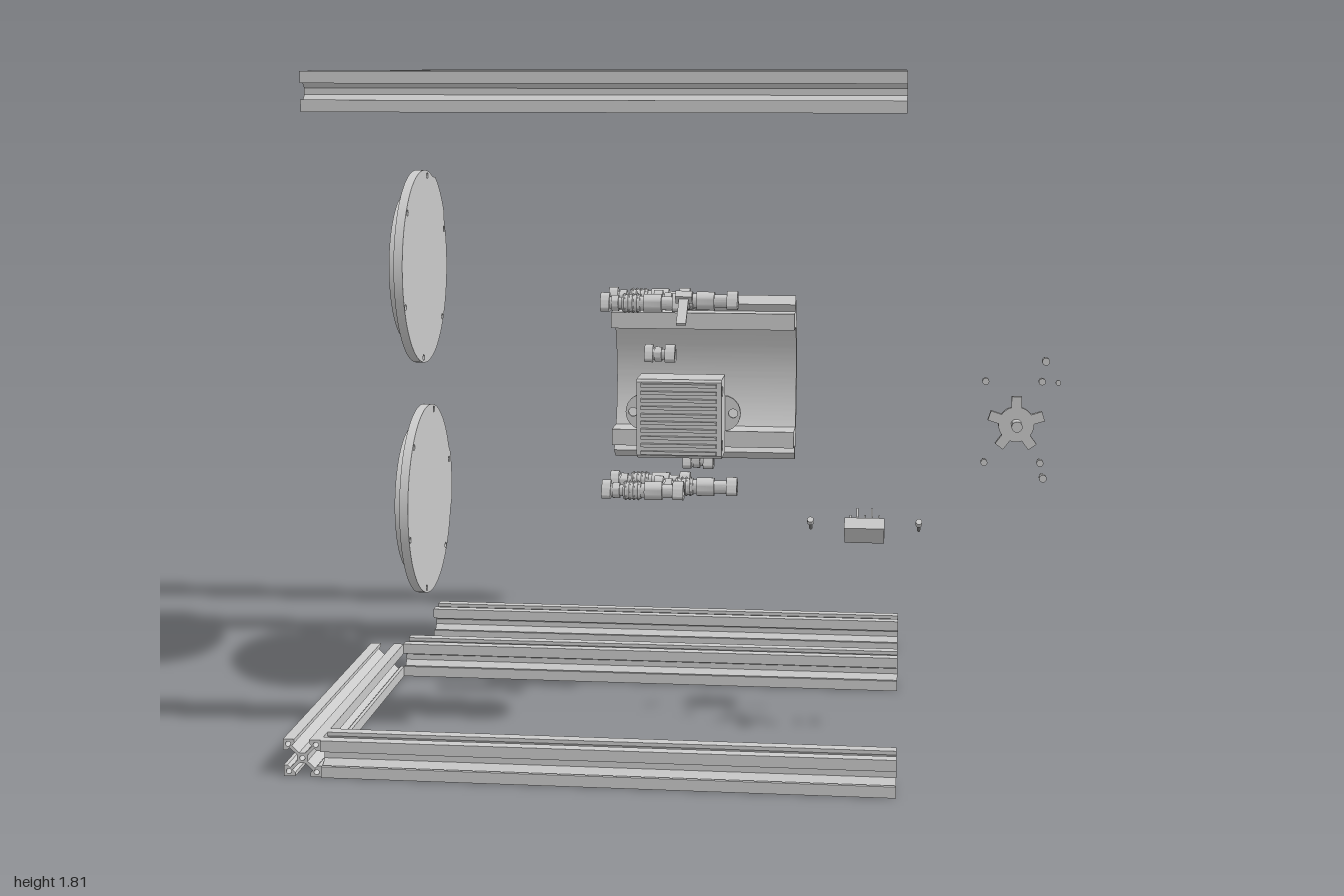
import * as THREE from 'three';
import { toCreasedNormals } from 'three/addons/utils/BufferGeometryUtils.js';

const mat = new THREE.MeshStandardMaterial({ color: 0xcccccc, side: THREE.DoubleSide });
const rad = THREE.MathUtils.degToRad;

function add(parent, name, geo, x = 0, y = 0, z = 0) {
  const m = new THREE.Mesh(toCreasedNormals(geo, 0.6), mat);
  m.name = name;
  m.position.set(x, y, z);
  parent.add(m);
  return m;
}
const box = (w, h, d) => new THREE.BoxGeometry(w, h, d);
const shapeOf = pts => new THREE.Shape(pts.map(p => new THREE.Vector2(p[0], p[1])));
const circle = (x, y, r) => new THREE.Path().absarc(x, y, r, 0, Math.PI * 2, true);
const extrude = (s, depth, seg = 12) =>
  new THREE.ExtrudeGeometry(s, { depth, bevelEnabled: false, curveSegments: seg });
// extrusion running along +x, with shape x pointing to -z
const extrudeX = (s, depth, seg) => extrude(s, depth, seg).rotateY(Math.PI / 2);

// slotted rail section: four hollow corners on a diagonal web
function railShape() {
  const side = [[.05, -.05], [.05, -.02], [.04, -.02], [.033, -.027], [.014, -.008],
    [.014, .008], [.033, .027], [.04, .02], [.05, .02]];
  const pts = [];
  for (let k = 0; k < 4; k++) {
    const c = Math.round(Math.cos(k * Math.PI / 2)), s = Math.round(Math.sin(k * Math.PI / 2));
    side.forEach(([x, y]) => pts.push([x * c - y * s, x * s + y * c]));
  }
  const shape = shapeOf(pts);
  shape.holes.push(circle(0, 0, .007));
  for (const x of [-1, 1]) for (const y of [-1, 1]) shape.holes.push(circle(x * .037, y * .037, .007));
  return shape;
}

// round cover with a slightly swollen edge arc, rim holes and a raised back
function cover(parent, y, holeStart, bulge) {
  const g = new THREE.Group();
  g.name = 'roundCover';
  const pts = [];
  for (let i = 0; i < 120; i++) {
    const a = i * 3;
    const d = Math.abs(((a - bulge + 540) % 360) - 180);
    const r = .281 + (d < 20 ? .012 * Math.min(1, (20 - d) / 5) : 0);
    pts.push([r * Math.cos(rad(a)), r * Math.sin(rad(a))]);
  }
  const s = shapeOf(pts);
  for (let k = 0; k < 6; k++) {
    const a = rad(holeStart + 60 * k);
    s.holes.push(circle(.267 * Math.cos(a), .267 * Math.sin(a), .009));
  }
  add(g, 'coverPlate', extrudeX(s, .025), -.835);
  add(g, 'coverBoss', new THREE.CylinderGeometry(.215, .215, .03, 64).rotateZ(Math.PI / 2), -.85);
  g.position.set(0, y, -.21);
  parent.add(g);
}

// rounded triangular sleeve, hollow, running along x
function sleeveGeo(len) {
  const ring = (R, k) => Array.from({ length: 36 }, (_, i) => {
    const a = i * Math.PI / 18, r = R * (1 + k * Math.cos(3 * (a - Math.PI / 2)));
    return new THREE.Vector2(r * Math.cos(a), r * Math.sin(a));
  });
  const s = new THREE.Shape(ring(.026, .12));
  s.holes.push(new THREE.Path(ring(.015, .12)));
  return extrudeX(s, len);
}

// cable connector: ribbed round body with sleeves
function connector(parent, x0, x1, y, z) {
  const g = new THREE.Group(), L = x1 - x0;
  g.name = 'cableConnector';
  const long = L > .15, end = L - .03;
  const p = [[0, .004], [.018, .004], [.018, .03], [.022, .03], [.022, .05], [.016, .05], [.016, .06]];
  if (long) p.push([.024, .06], [.024, .11], [.02, .11], [.02, .12], [.026, .12], [.026, .17], [.019, .17]);
  p.push([.019, end + .01], [0, end + .01]);
  add(g, 'connectorBody', new THREE.LatheGeometry(p.map(q => new THREE.Vector2(...q)), 24).rotateZ(-Math.PI / 2));
  add(g, 'connectorSleeve', sleeveGeo(.03), end);
  add(g, 'connectorSleeve', sleeveGeo(.025), 0);
  for (let i = 0; long && i < 4; i++)
    add(g, 'gripRing', new THREE.TorusGeometry(.025, .003, 6, 24).rotateY(Math.PI / 2), .066 + i * .012);
  g.position.set(x0, y, z);
  parent.add(g);
}

// screw pointing along z, head at the front
function screw(parent, x, y, z, len, r = .008, tilt = 0) {
  const g = new THREE.Group();
  g.name = 'screw';
  add(g, 'screwHead', new THREE.CylinderGeometry(r, r, len * .35, 12).rotateX(Math.PI / 2), 0, 0, len * .325);
  add(g, 'screwShank', new THREE.CylinderGeometry(r * .5, r * .5, len * .65, 10).rotateX(Math.PI / 2), 0, 0, -len * .175);
  g.position.set(x, y, z);
  g.rotation.x = tilt;
  parent.add(g);
}

function saddle(parent) {
  const g = new THREE.Group();
  g.name = 'curvedSaddle';
  const Ro = .39, Ri = .352, W = .54;
  for (const [a, b] of [[-39, -32], [-26, 26], [32, 39]]) {
    const s = new THREE.Shape();
    s.absarc(0, 0, Ro, rad(a), rad(b), false);
    s.absarc(0, 0, Ri, rad(b), rad(a), true);
    add(g, 'saddleShell', extrudeX(s, W, 24), -W / 2);
  }
  // drilled strips and inward mounting ledges
  for (const s of [-1, 1]) {
    const plate = shapeOf([[-W / 2, -.0205], [W / 2, -.0205], [W / 2, .0205], [-W / 2, .0205]]);
    for (const x of [-.165, .085]) plate.holes.push(circle(x, 0, .014));
    const m = add(g, 'drilledStrip', extrude(plate, Ro - Ri));
    const a = rad(29 * s);
    m.position.set(0, Ro * Math.sin(a), -Ro * Math.cos(a));
    m.rotation.x = a;
    add(g, 'saddleLedge', box(W, .048, .10), 0, .175 * s, -.28);
  }
  add(g, 'backRib', box(W, .04, .02), 0, 0, -Ro - .002);
  g.position.set(0, .91, -.035);
  parent.add(g);
}

function motor(parent) {
  const g = new THREE.Group();
  g.name = 'finnedHousing';
  const s = shapeOf([[-.37, -.105], [-.27, -.105], [-.27, .105], [-.37, .105], [-.375, .098], [-.375, -.098]]);
  for (const y of [-.073, .073]) s.holes.push(circle(-.35, y, .014));
  add(g, 'housingBody', extrudeX(s, .225), -.112);
  for (let i = 0; i < 10; i++) add(g, 'coolingFin', box(.2, .009, .014), 0, -.09 + i * .02, .38);
  // side ears with screw holes
  for (const e of [-1, 1]) {
    const ear = new THREE.Shape();
    ear.absellipse(0, 0, .045, .048, 0, Math.PI * 2, false);
    ear.holes.push(circle(e * .025, 0, .012));
    add(g, 'mountingEar', extrude(ear, .01), e * .11, 0, .262);
  }
  g.position.y = .905;
  parent.add(g);
}

function hub(parent) {
  const g = new THREE.Group();
  g.name = 'armedHub';
  const s = new THREE.Shape();
  for (let k = 0; k < 5; k++) {
    const c = rad(90 + 72 * k);
    const at = (r, t) => [r * Math.cos(c) - t * Math.sin(c), r * Math.sin(c) + t * Math.cos(c)];
    if (k === 0) s.moveTo(...at(.044, -.013)); else s.lineTo(...at(.044, -.013));
    s.lineTo(...at(.073, -.013));
    s.lineTo(...at(.073, .013));
    s.lineTo(...at(.044, .013));
    s.absarc(0, 0, .046, c + .3, c + rad(72) - .3, false);
  }
  add(g, 'hubPlate', extrude(s, .015), 0, 0, .35);
  add(g, 'hubShaft', new THREE.CylinderGeometry(.014, .014, .045, 20).rotateX(Math.PI / 2), 0, 0, .383);
  g.position.set(.88, .905, 0);
  parent.add(g);
}

export function createModel() {
  const root = new THREE.Group();
  root.name = 'explodedFrameAssembly';
  // frame rails
  const rail = railShape();
  for (const y of [.05, 1.762]) for (const z of [.645, -.248, -.648])
    add(root, 'longRail', extrudeX(rail, 1.485, 10), -.9, y, z);
  add(root, 'sideRail', extrude(rail, .89, 10), -.95, .05, -.2);

  cover(root, 1.243, 20, 45);
  cover(root, .55, 15, 2);
  saddle(root);
  motor(root);
  hub(root);

  // connectors, in two rows of three plus four short ones
  for (const y of [1.175, .645]) {
    connector(root, -.245, -.015, y, -.07);
    connector(root, -.11, .125, y, -.005);
    connector(root, -.25, -.02, y, .065);
  }
  connector(root, -.055, .035, 1.143, -.257);
  connector(root, -.055, .035, .672, -.253);
  connector(root, -.17, -.08, .985, -.27);
  connector(root, -.17, -.08, .832, -.27);

  // tilted latch lever
  const lever = new THREE.Group();
  lever.name = 'latchLever';
  add(lever, 'leverStem', box(.026, .008, .095), 0, 0, 0);
  add(lever, 'leverHead', box(.045, .026, .022), 0, 0, -.052);
  lever.position.set(0, 1.18, .282);
  lever.rotation.x = rad(40);
  root.add(lever);

  // tilted pin block
  const block = new THREE.Group();
  block.name = 'pinBlock';
  add(block, 'blockBody', box(.11, .035, .075));
  for (let i = 0; i < 5; i++) add(block, 'pin', box(.005, .05, .005), -.04 + i * .02, .035, -.018 + .036 * (i % 2));
  block.position.set(.487, .555, .11);
  block.rotation.x = rad(-45);
  root.add(block);
  for (const x of [.34, .636]) screw(root, x, .58, .15, .045, .009, rad(-45));

  // loose screws around the hub
  for (const y of [1.015, .8]) {
    screw(root, .8, y, .33, .045, .009);
    screw(root, .945, y, .325, .045, .009);
  }
  for (const y of [1.065, .755]) screw(root, .955, y, .3, .055, .01);
  screw(root, .993, 1.0, .255, .015, .007);
  return root;
}
